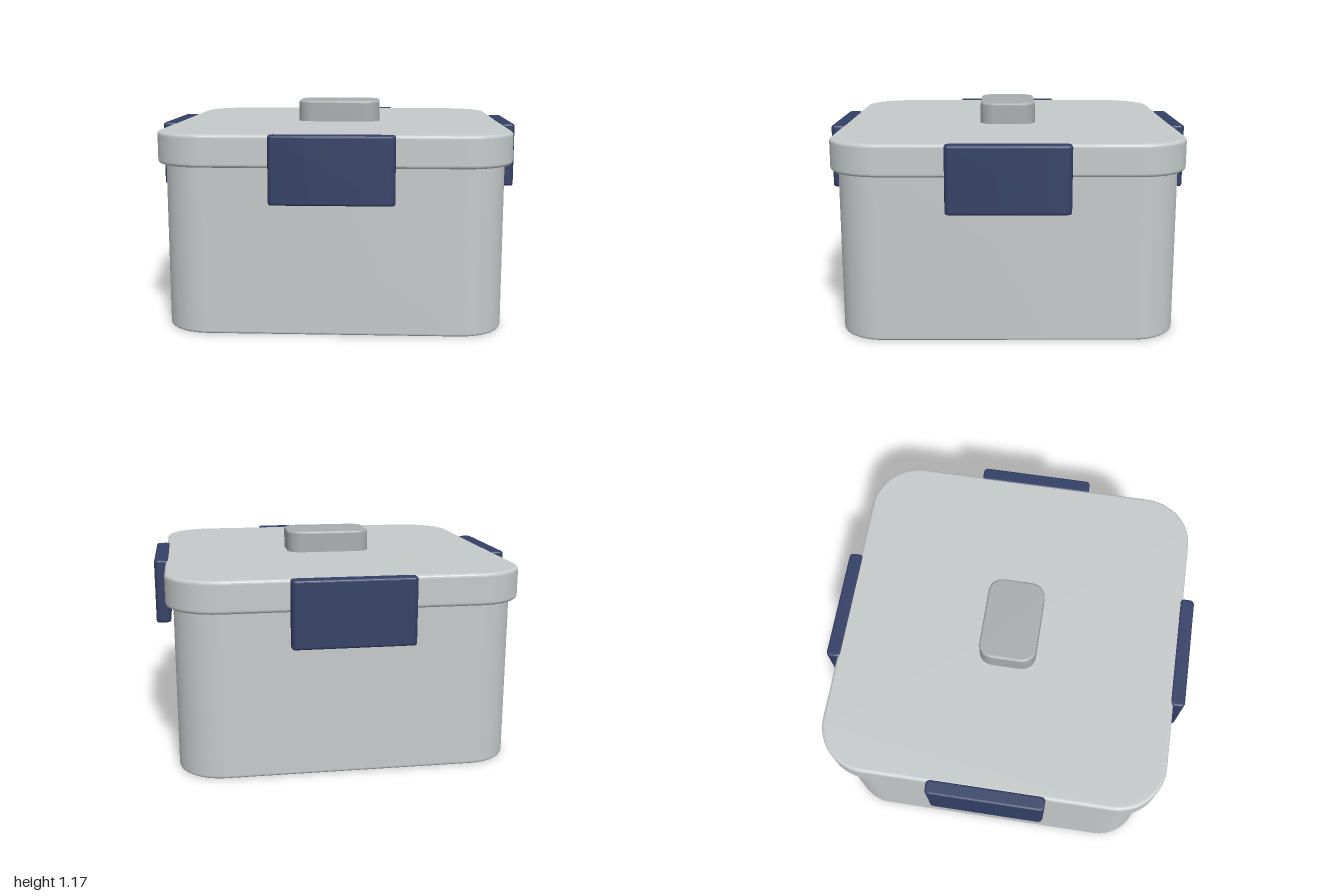
import * as THREE from 'three';
import { toCreasedNormals } from 'three/addons/utils/BufferGeometryUtils.js';

const material = (name, color) => {
  const m = new THREE.MeshStandardMaterial({ color });
  m.name = name;
  return m;
};

// Rounded rectangle in plan, raised from y0 to y1 with softened rims
function roundedSlab(w, d, r, y0, y1, bevel) {
  const x = w / 2, y = d / 2;
  const s = new THREE.Shape();
  s.moveTo(x - r, -y);
  s.absarc(x - r, -y + r, r, -Math.PI / 2, 0);
  s.absarc(x - r, y - r, r, 0, Math.PI / 2);
  s.absarc(-x + r, y - r, r, Math.PI / 2, Math.PI);
  s.absarc(-x + r, -y + r, r, Math.PI, Math.PI * 1.5);
  s.closePath();
  const g = new THREE.ExtrudeGeometry(s, {
    depth: y1 - y0 - 2 * bevel, curveSegments: 16,
    bevelEnabled: true, bevelSize: bevel, bevelThickness: bevel,
    bevelOffset: -bevel, bevelSegments: 4,
  });
  g.rotateX(-Math.PI / 2);
  g.translate(0, y0 + bevel, 0);
  return toCreasedNormals(g, 0.15);
}

export function createModel() {
  const group = new THREE.Group();
  group.name = 'lidded container';
  const shell = material('light grey', 0xc6caca);
  const grip = material('mid grey', 0xa9adaf);
  const navy = material('navy blue', 0x334066);

  const add = (name, geometry, mat) => {
    const mesh = new THREE.Mesh(geometry, mat);
    mesh.name = name;
    group.add(mesh);
    return mesh;
  };

  // Box, overhanging lid and small raised handle
  add('body', roundedSlab(1.795, 1.795, 0.24, 0, 0.95, 0.014), shell);
  add('lid', roundedSlab(1.875, 1.875, 0.27, 0.885, 1.055, 0.018), shell);
  add('lidHandle', roundedSlab(0.475, 0.315, 0.08, 1.04, 1.175, 0.014), grip);

  // One locking clip on each side
  const clip = roundedSlab(0.64, 0.08, 0.024, 0.705, 1.058, 0.012);
  clip.translate(0, 0, 0.96);
  ['front', 'left', 'back', 'right'].forEach((side, i) => {
    add(side + 'Clip', clip, navy).rotation.y = i * Math.PI / 2;
  });
  return group;
}
